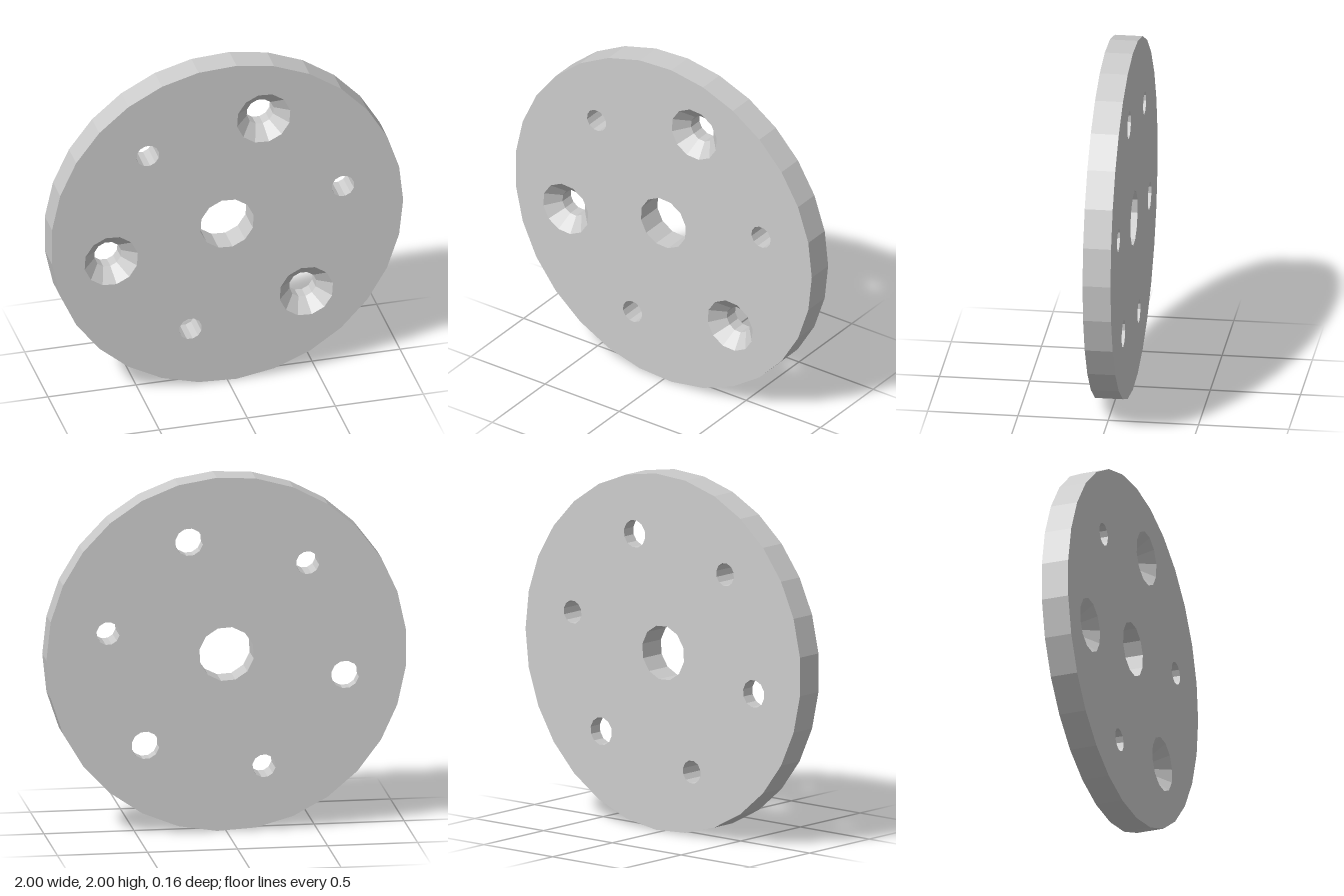
import * as THREE from 'three';

const H = 0.0775;      // half thickness
const R = 1.0007;      // disc radius
const TURN = THREE.MathUtils.degToRad(11.5); // rotation of the hole pattern

// regular polygon corners
function ring(cx, cy, r, n, start) {
  return Array.from({ length: n }, (_, i) => {
    const a = start + (i / n) * Math.PI * 2;
    return new THREE.Vector2(cx + r * Math.cos(a), cy + r * Math.sin(a));
  });
}

// faceted wall around the z axis; [radius, z] rising faces out, falling faces in
function wall(profile, n, start) {
  const points = profile.map(([r, z]) => new THREE.Vector2(r, z));
  const g = new THREE.LatheGeometry(points, n, Math.PI / 2 + start).rotateX(Math.PI / 2).toNonIndexed();
  g.computeVertexNormals();
  return g;
}

// flat plate face with holes, facing front or back
function plateFace(holes, front) {
  const shape = new THREE.Shape(ring(0, 0, R, 29, 0));
  for (const h of holes) {
    const r = front ? h.profile[0][0] : h.profile[h.profile.length - 1][0];
    shape.holes.push(new THREE.Path(ring(h.x, h.y, r, 12, TURN)));
  }
  const g = new THREE.ShapeGeometry(shape);
  if (!front) g.setIndex(Array.from(g.index.array).reverse());
  g.translate(0, 0, front ? H : -H);
  g.computeVertexNormals();
  return g;
}

export function createModel() {
  const model = new THREE.Group();
  model.name = 'mountingDisc';
  const material = new THREE.MeshStandardMaterial({ color: 0xcccccc, flatShading: true });
  const add = (name, geometry, x = 0, y = 0) => {
    const mesh = new THREE.Mesh(geometry, material);
    mesh.name = name;
    mesh.position.set(x - 0.003, y + 1, 0);
    model.add(mesh);
  };

  // centre bore, then plain and countersunk holes alternating on one circle
  const holes = [{ name: 'centreBore', x: 0, y: 0, profile: [[0.154, H], [0.154, -H]] }];
  for (let i = 0; i < 6; i++) {
    const a = THREE.MathUtils.degToRad(12 + i * 60);
    const sunk = i % 2 === 1;
    holes.push({
      name: sunk ? 'countersunkHole' : 'plainHole',
      x: 0.673 * Math.cos(a),
      y: 0.673 * Math.sin(a),
      profile: sunk ? [[0.154, H], [0.078, 0], [0.078, -H]] : [[0.065, H], [0.065, -H]],
    });
  }

  // disc
  add('frontFace', plateFace(holes, true));
  add('backFace', plateFace(holes, false));
  add('rim', wall([[R, -H], [R, H]], 29, 0));

  // hole walls
  for (const h of holes) add(h.name, wall(h.profile, 12, TURN), h.x, h.y);
  return model;
}
